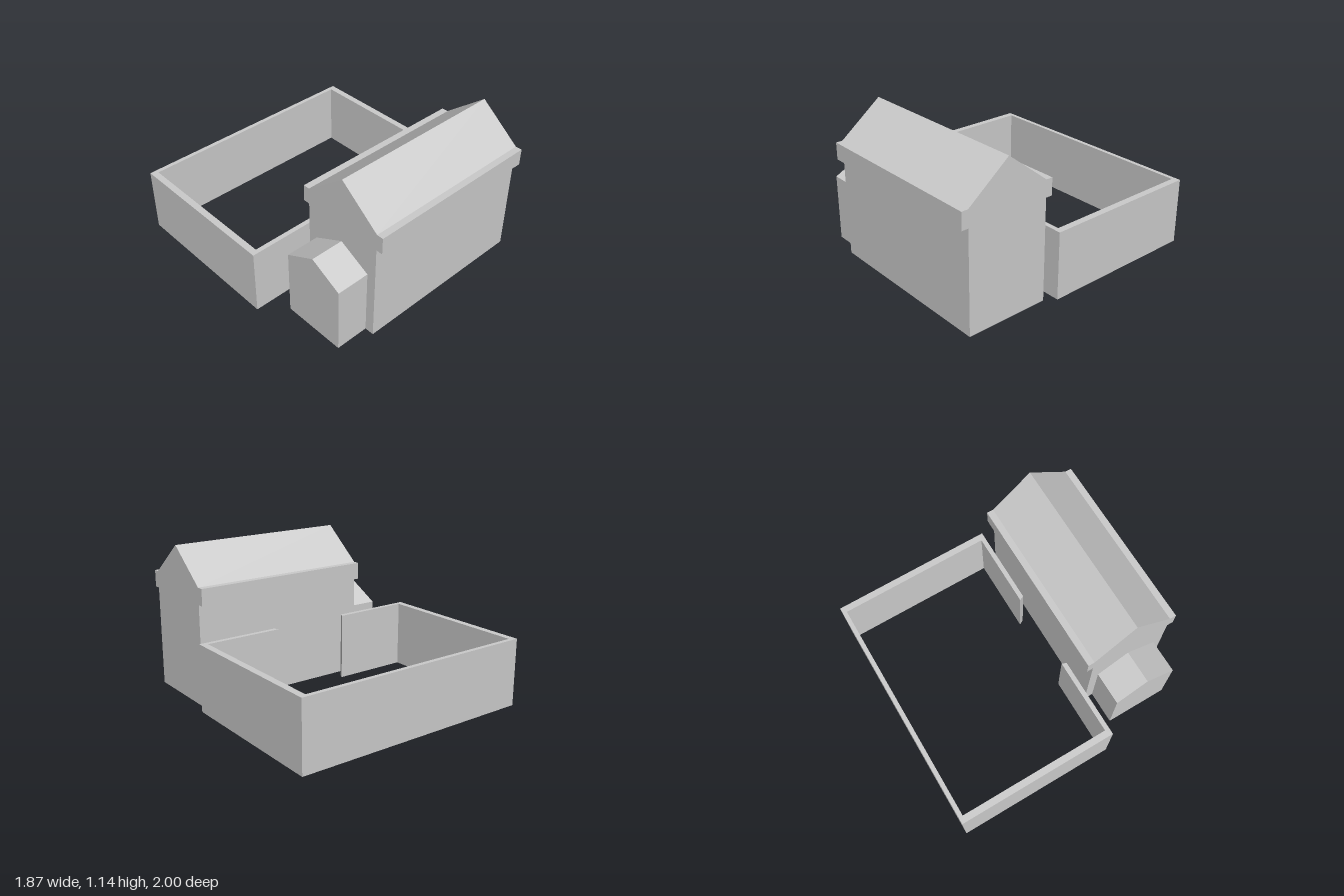
import * as THREE from 'three';

const material = new THREE.MeshStandardMaterial({ color: 0xcccccc, flatShading: true });

function extrude(name, points, depth) {
  const shape = new THREE.Shape(points.map(([x, y]) => new THREE.Vector2(x, y)));
  const mesh = new THREE.Mesh(new THREE.ExtrudeGeometry(shape, { depth, bevelEnabled: false }), material);
  mesh.name = name;
  return mesh;
}

// Gabled block: half profile (offset from ridge, height) mirrored, run along x
function gabledBlock(name, half, x0, x1, ridgeZ) {
  const mirrored = half.filter(([d]) => d > 0).reverse().map(([d, y]) => [-d, y]);
  const mesh = extrude(name, [...half, ...mirrored], x1 - x0);
  mesh.geometry.rotateY(Math.PI / 2);
  mesh.position.set(x0, 0, ridgeZ);
  return mesh;
}

export function createModel() {
  const model = new THREE.Group();
  model.name = 'farmstead';

  // Main house with boxed eaves
  model.add(gabledBlock('house', [
    [0.315, 0], [0.315, 0.763], [0.365, 0.763], [0.365, 0.89], [0.315, 0.89], [0, 1.14],
  ], -0.505, 0.882, 0.635));

  // Small lean-on annex with its own gable
  model.add(gabledBlock('annex', [[0.245, 0], [0.245, 0.508], [0, 0.635]], -0.76, -0.505, 0.635));

  // Courtyard wall with a gateway cut at a slant (plan in x, -z)
  const half = [
    [0.312, -0.24], [0.935, -0.24], [0.935, 1],
  ];
  const inner = [[0.885, 0.968], [0.885, -0.205], [0.296, -0.205]];
  const flip = (pts) => pts.map(([x, y]) => [-x, y]).reverse();
  const wall = extrude('courtyardWall', [...half, ...flip(half), ...flip(inner), ...inner], 0.508);
  wall.geometry.rotateX(-Math.PI / 2);
  model.add(wall);

  return model;
}
